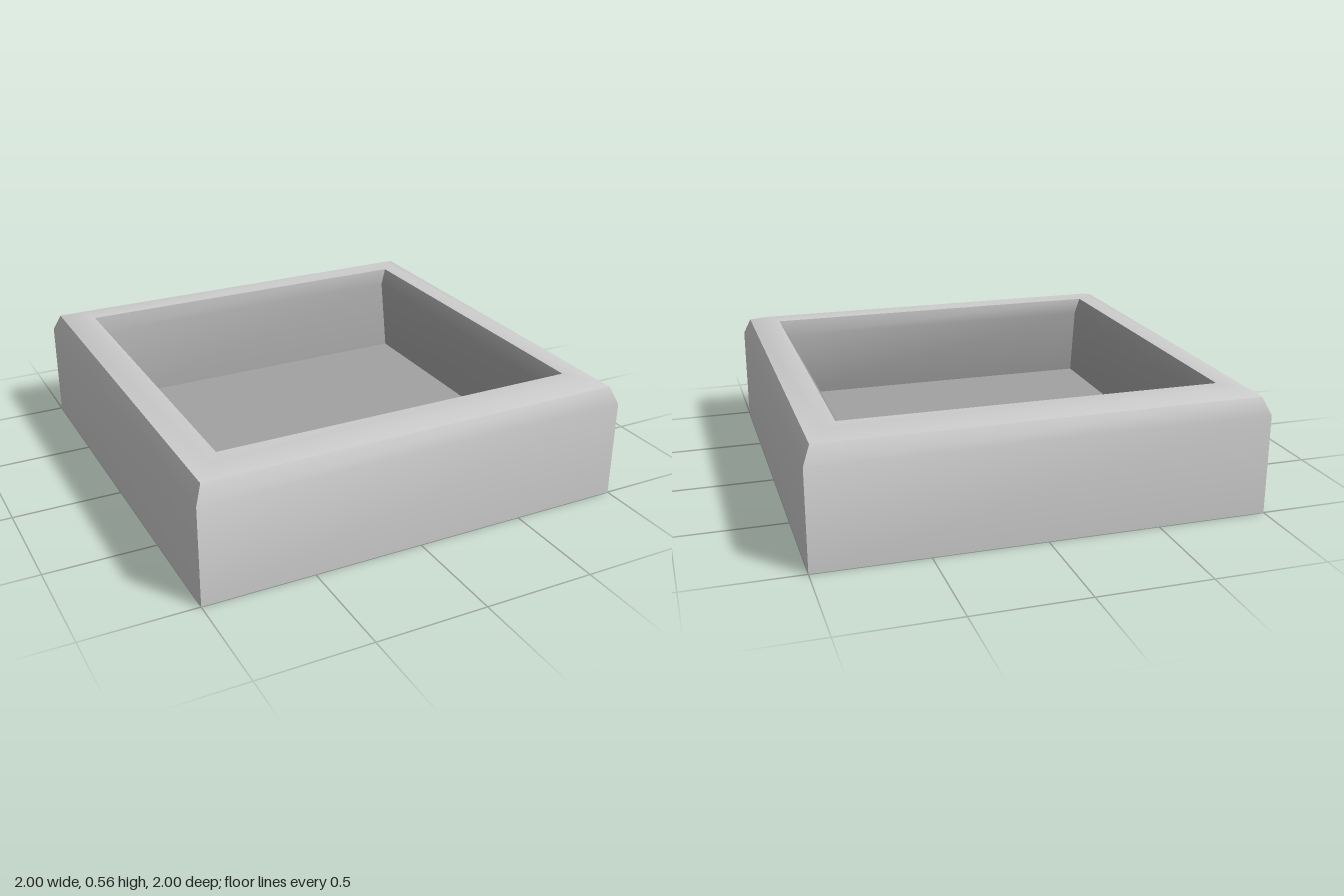
import * as THREE from 'three';
import { toCreasedNormals } from 'three/addons/utils/BufferGeometryUtils.js';

// Rectangular ring: half width, front z, back z, height; corners counter-clockwise from above
function ring(halfX, front, back, y) {
  return [[-halfX, front], [halfX, front], [halfX, back], [-halfX, back]]
    .map(([x, z]) => new THREE.Vector3(x, y, z));
}

// Skin successive rings; optionally close the first ring downward or the last ring upward
function skin(rings, { capStart = false, capEnd = false } = {}) {
  const points = [];
  const quad = (a, b, c, d) => points.push(a, b, c, a, c, d);
  for (let r = 0; r < rings.length - 1; r++) {
    const lo = rings[r], hi = rings[r + 1];
    for (let i = 0; i < 4; i++) {
      const j = (i + 1) % 4;
      quad(lo[i], lo[j], hi[j], hi[i]);
    }
  }
  if (capStart) quad(...[...rings[0]].reverse());
  if (capEnd) quad(...rings[rings.length - 1]);
  return toCreasedNormals(new THREE.BufferGeometry().setFromPoints(points), 0.7);
}

export function createModel() {
  const lightGrey = new THREE.MeshStandardMaterial({ color: 0xcccccc });
  lightGrey.name = 'lightGrey';
  const midGrey = new THREE.MeshStandardMaterial({ color: 0xa2a2a2 });
  midGrey.name = 'midGrey';

  const innerRim = ring(0.835, 0.8, -0.8, 0.55);

  // Outer walls, chamfer and rounded rim
  const shell = new THREE.Mesh(skin([
    ring(1, 1, -1, 0),
    ring(1, 1, -1, 0.45),
    ring(0.967, 0.967, -0.967, 0.528),
    ring(0.89, 0.89, -0.89, 0.555),
    innerRim,
  ], { capStart: true }), lightGrey);
  shell.name = 'trayShell';

  // Inner lip, leaning front and back walls, and floor
  const basin = new THREE.Mesh(skin([
    innerRim,
    ring(0.795, 0.765, -0.765, 0.48),
    ring(0.795, 0.81, -0.705, 0.143),
  ], { capEnd: true }), midGrey);
  basin.name = 'trayBasin';

  const tray = new THREE.Group();
  tray.name = 'tray';
  tray.add(shell, basin);
  return tray;
}
